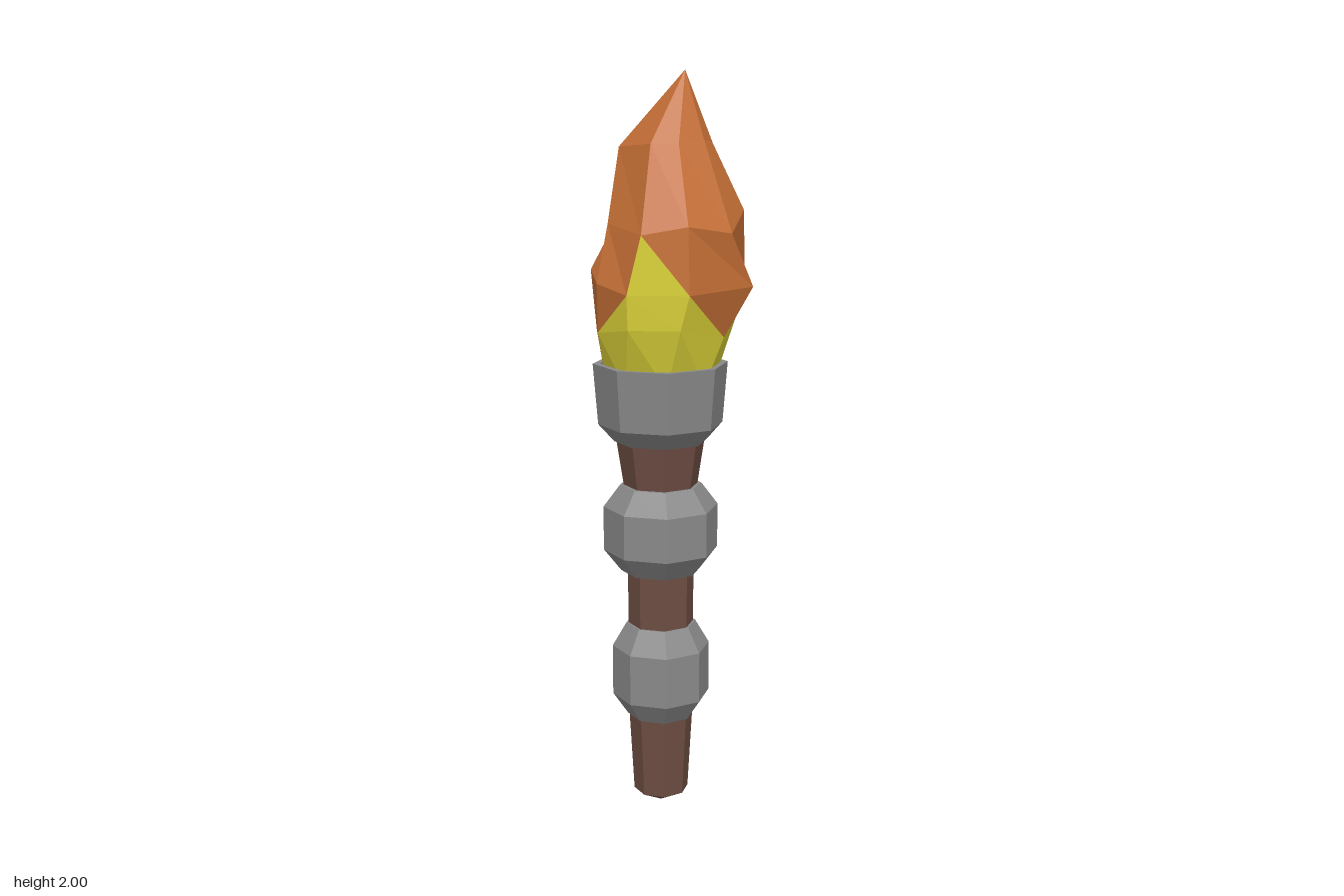
import * as THREE from 'three';

const mat = (color) => new THREE.MeshStandardMaterial({ color, flatShading: true });

// Eight-sided turned part from a [radius, height] profile, bottom to top
function turned(name, profile, material) {
  const points = profile.map(([r, y]) => new THREE.Vector2(r, y));
  const mesh = new THREE.Mesh(new THREE.LatheGeometry(points, 8), material);
  mesh.name = name;
  mesh.position.x = -0.03;
  return mesh;
}

// Flame rings from top to bottom, each going from +x round by +z
const flameRings = [
  [[0.11, 1.83, 0], [0.085, 1.82, 0.07], [0.035, 1.82, 0.12], [-0.11, 1.81, 0.07],
    [-0.105, 1.8, 0.01], [-0.085, 1.8, -0.07], [0.04, 1.82, -0.12], [0.085, 1.82, -0.07]],
  [[0.2, 1.6, 0], [0.15, 1.62, 0.115], [0.06, 1.6, 0.19], [-0.09, 1.62, 0.14],
    [-0.135, 1.67, 0.01], [-0.14, 1.62, -0.085], [0.03, 1.62, -0.2], [0.15, 1.65, -0.12]],
  [[0.21, 1.46, -0.08], [0.155, 1.45, 0.115], [0.025, 1.45, 0.205], [-0.09, 1.47, 0.185],
    [-0.21, 1.49, 0.07], [-0.21, 1.45, -0.04], [-0.09, 1.46, -0.17], [0.1, 1.5, -0.195]],
  [[0.155, 1.33, -0.03], [0.13, 1.36, 0.12], [0.02, 1.36, 0.195], [-0.11, 1.34, 0.16],
    [-0.2, 1.33, 0.06], [-0.18, 1.34, -0.08], [-0.06, 1.36, -0.18], [0.09, 1.36, -0.17]],
];

// Per strip and side: o outer colour, y inner colour,
// a/b a single inner-colour tongue with its tip on the next/this column
const flamePattern = ['oooooooo', 'oaooobоo'.replace('о', 'o'), 'ayboaybo', 'yyyayyyy'];

function flame() {
  const base = Array.from({ length: 8 }, (_, i) => {
    const t = (i * Math.PI) / 4;
    return [-0.03 + 0.145 * Math.cos(t), 1.2, 0.145 * Math.sin(t)];
  });
  const rings = [...flameRings, base];
  const outer = [], inner = [];
  const tip = [0.05, 2, 0], bottom = [-0.03, 1.2, 0];

  for (let j = 0; j < 8; j++) {
    const k = (j + 1) % 8;
    outer.push(...tip, ...rings[0][k], ...rings[0][j]);
    inner.push(...bottom, ...base[j], ...base[k]);
    flamePattern.forEach((row, s) => {
      const code = row[j], top = rings[s], low = rings[s + 1];
      const lower = code === 'b' ? [low[j], top[j], low[k]] : [low[j], top[k], low[k]];
      const upper = code === 'b' ? [top[j], top[k], low[k]] : [low[j], top[j], top[k]];
      (code === 'o' ? outer : inner).push(...lower.flat());
      (code === 'y' ? inner : outer).push(...upper.flat());
    });
  }

  const group = new THREE.Group();
  group.name = 'flame';
  for (const [name, data, color] of [['outerFlame', outer, 0xc87137], ['innerFlame', inner, 0xe0d63a]]) {
    const geometry = new THREE.BufferGeometry();
    geometry.setAttribute('position', new THREE.Float32BufferAttribute(data, 3));
    geometry.computeVertexNormals();
    const mesh = new THREE.Mesh(geometry, mat(color));
    mesh.name = name;
    group.add(mesh);
  }
  return group;
}

export function createModel() {
  const model = new THREE.Group();
  model.name = 'torch';
  const wood = mat(0x6e4e43), metal = mat(0x8a8a8a);

  // Wooden shaft, with the back of its pointed end cut away
  const shaft = turned('shaft', [[0, 0], [0.075, 0.04], [0.088, 0.27], [0.09, 0.7],
    [0.1, 0.92], [0.12, 1.05]], wood);
  const p = shaft.geometry.attributes.position;
  for (let i = 0; i < p.count; i++) {
    if (p.getZ(i) < -0.06 && p.getY(i) < 0.1) p.setY(i, Math.abs(p.getX(i)) < 0.01 ? 0.12 : 0.07);
  }
  shaft.geometry.computeVertexNormals();
  model.add(shaft);

  // Metal bulbs round the shaft
  model.add(turned('lowerBulb', [[0.07, 0.265], [0.092, 0.265], [0.133, 0.325], [0.133, 0.465],
    [0.095, 0.53], [0.07, 0.53]], metal));
  model.add(turned('upperBulb', [[0.07, 0.68], [0.108, 0.68], [0.155, 0.74], [0.155, 0.86],
    [0.11, 0.92], [0.07, 0.92]], metal));

  // Hollow collar that holds the flame
  model.add(turned('collar', [[0.1, 1.04], [0.125, 1.04], [0.167, 1.087], [0.18, 1.25],
    [0.162, 1.25], [0.15, 1.16], [0, 1.16]], metal));

  model.add(flame());
  return model;
}
